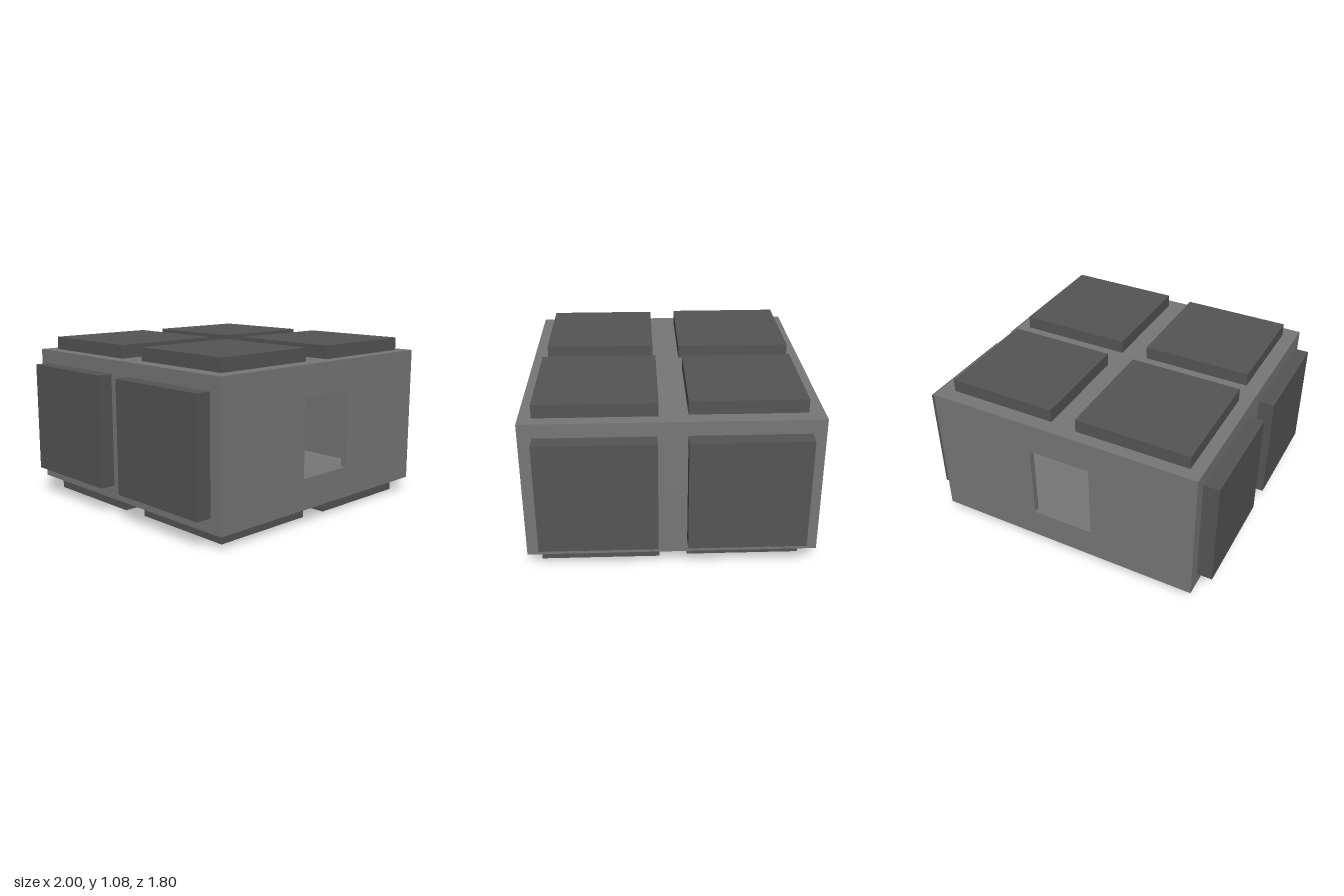
import * as THREE from 'three';

const W = 1.8, H = 0.9, T = 0.04, CY = 0.54; // shell size, wall thickness, centre height

export function createModel() {
  const model = new THREE.Group();
  model.name = 'paddedBox';
  const shellMat = new THREE.MeshStandardMaterial({ color: 0x777777 });
  const padMat = new THREE.MeshStandardMaterial({ color: 0x555555 });

  const box = (name, material, [w, h, d], [x, y, z], parent) => {
    const mesh = new THREE.Mesh(new THREE.BoxGeometry(w, h, d), material);
    mesh.name = name;
    mesh.position.set(x, y, z);
    parent.add(mesh);
  };

  // Hollow shell: front and back panels with a window, closed by four walls
  const shell = new THREE.Group();
  shell.name = 'shell';
  model.add(shell);

  const rect = (Type, w, h) => new Type([
    new THREE.Vector2(-w / 2, -h / 2), new THREE.Vector2(w / 2, -h / 2),
    new THREE.Vector2(w / 2, h / 2), new THREE.Vector2(-w / 2, h / 2),
  ]);
  const panel = rect(THREE.Shape, W, H);
  panel.holes.push(rect(THREE.Path, 0.41, 0.5));
  const panelGeometry = new THREE.ExtrudeGeometry(panel, { depth: T, bevelEnabled: false });
  for (const [name, z] of [['frontPanel', W / 2 - T], ['backPanel', -W / 2]]) {
    const mesh = new THREE.Mesh(panelGeometry, shellMat);
    mesh.name = name;
    mesh.position.set(0, CY, z);
    shell.add(mesh);
  }

  const inner = W - 2 * T;
  for (const s of [-1, 1]) {
    box(s > 0 ? 'leftWall' : 'rightWall', shellMat, [T, H, inner], [s * (W - T) / 2, CY, 0], shell);
    box(s > 0 ? 'roof' : 'floor', shellMat, [inner, T, inner], [0, CY + s * (H - T) / 2, 0], shell);
  }

  // Raised square pads: four above, four below, two on each side
  const pads = new THREE.Group();
  pads.name = 'pads';
  model.add(pads);
  for (const sx of [-1, 1]) {
    for (const sz of [-1, 1]) {
      const size = sx === sz ? 0.74 : 0.71; // diagonal pairs differ in size
      box('topPad', padMat, [size, 0.085, size], [sx * 0.45, 1.0325, sz * 0.45], pads);
      box('bottomPad', padMat, [size, 0.09, size], [sx * 0.45, 0.045, sz * 0.45], pads);
      box('sidePad', padMat, [0.1, 0.72, 0.725], [sx * 0.95, CY, sz * 0.4525], pads);
    }
  }
  return model;
}
